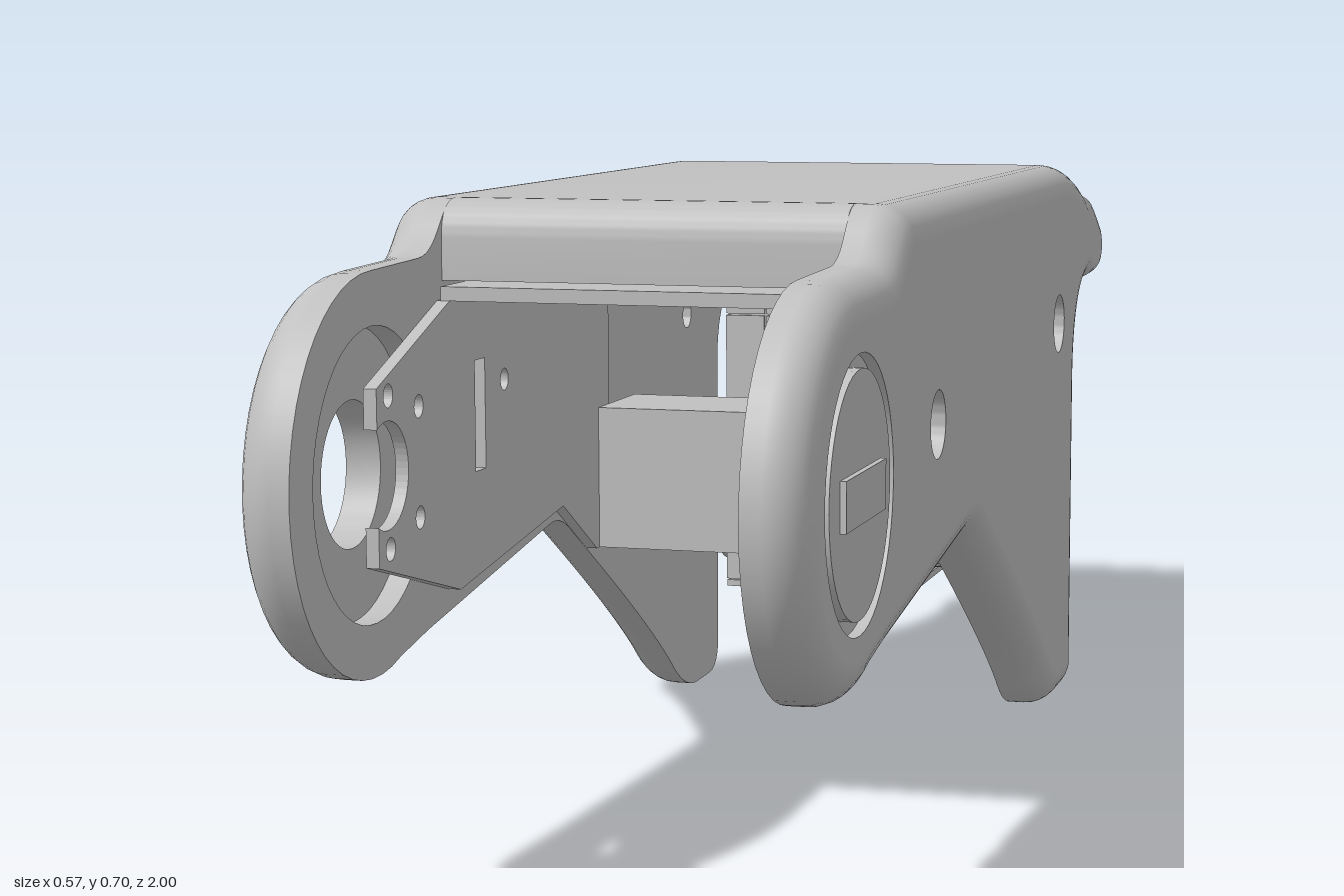
import * as THREE from 'three';
import { mergeGeometries, toCreasedNormals } from 'three/addons/utils/BufferGeometryUtils.js';

const grey = new THREE.MeshStandardMaterial({ color: 0xc0c0c0, side: THREE.DoubleSide });
const CX = -0.0045;      // middle of the body across x
const INNER = 0.2185;    // half the gap between the side plates
const T = 0.063;         // side plate thickness
const R = 0.042;         // rounding of the outer rim
const PIVOT = [0.795, 0.44];
const SCREWS = [[0.45, 0.465], [-0.27, 0.505]];

function mesh(name, geo) {
  const m = new THREE.Mesh(geo, grey);
  m.name = name;
  return m;
}

function box(name, x0, x1, y0, y1, z0, z1) {
  const g = new THREE.BoxGeometry(x1 - x0, y1 - y0, z1 - z0);
  g.translate((x0 + x1) / 2, (y0 + y1) / 2, (z0 + z1) / 2);
  return mesh(name, g);
}

// Takes a part drawn in (z, y, outward depth) to the side at -x or +x
function toSide(geo, side) {
  geo.clearGroups();
  geo.rotateY(-Math.PI / 2).translate(-INNER, 0, 0);
  if (side > 0) {
    geo.scale(-1, 1, 1);
    const order = geo.index ? [...geo.index.array] : [...Array(geo.attributes.position.count).keys()];
    geo.setIndex(order.reverse());
  }
  return geo.translate(CX, 0, 0);
}

function circle(c, r) {
  return new THREE.Path().absarc(c[0], c[1], r, 0, Math.PI * 2, true);
}

// Side plate outline in (z, y), counter-clockwise
function sideOutline() {
  const s = new THREE.Shape();
  s.moveTo(-0.33, 0.705);
  s.quadraticCurveTo(-0.46, 0.70, -0.6, 0.62);
  s.quadraticCurveTo(-0.622, 0.605, -0.622, 0.58);
  s.quadraticCurveTo(-0.615, 0.54, -0.56, 0.54);
  s.bezierCurveTo(-0.45, 0.54, -0.41, 0.5, -0.41, 0.42);
  s.lineTo(-0.41, 0.045);
  s.quadraticCurveTo(-0.41, 0, -0.365, 0);
  s.lineTo(-0.31, 0);
  s.quadraticCurveTo(-0.25, 0, -0.19, 0.05);
  s.quadraticCurveTo(-0.09, 0.125, 0.2, 0.288);
  s.quadraticCurveTo(0.24, 0.315, 0.28, 0.309);
  s.lineTo(0.66, 0.257);
  s.lineTo(0.735, 0.244);
  s.absarc(PIVOT[0], PIVOT[1], 0.205, -1.87, Math.PI / 2, false);
  s.lineTo(0.67, 0.648);
  s.bezierCurveTo(0.61, 0.65, 0.61, 0.705, 0.56, 0.705);
  return s.getPoints(14);
}

// Plate with a flat inner face and a rounded outer rim
function plateGeometry() {
  const pts = sideOutline(), n = pts.length, steps = 7;
  const normals = pts.map((p, i) => {
    const t = pts[(i + 1) % n].clone().sub(pts[(i + n - 1) % n]).normalize();
    return new THREE.Vector2(t.y, -t.x);
  });
  const inset = (d) => pts.map((p, i) => p.clone().addScaledVector(normals[i], p.x < -0.52 ? -d * 0.55 : -d));
  const pos = [], nor = [], idx = [];
  for (let k = -1; k <= steps; k++) {
    const a = Math.max(k, 0) / steps * Math.PI / 2;
    const w = k < 0 ? 0 : T - R + R * Math.sin(a);
    inset(R * (1 - Math.cos(a))).forEach((p, i) => {
      pos.push(p.x, p.y, w);
      nor.push(normals[i].x * Math.cos(a), normals[i].y * Math.cos(a), Math.sin(a));
      if (k < 0) return;
      const j = (i + 1) % n, lo = k * n, hi = lo + n;
      idx.push(lo + i, lo + j, hi + j, lo + i, hi + j, hi + i);
    });
  }
  const rim = new THREE.BufferGeometry();
  rim.setAttribute('position', new THREE.Float32BufferAttribute(pos, 3));
  rim.setAttribute('normal', new THREE.Float32BufferAttribute(nor, 3));
  rim.setIndex(idx);
  const cap = (d, pivotR, screwR) => {
    const s = new THREE.Shape(inset(d));
    s.holes.push(circle(PIVOT, pivotR), ...SCREWS.map((c) => circle(c, screwR)));
    const g = new THREE.ShapeGeometry(s, 24);
    g.deleteAttribute('uv');
    return g;
  };
  const outer = cap(R, 0.137, 0.037).translate(0, 0, T);
  const inner = cap(0, 0.15, 0.018);
  inner.setIndex([...inner.index.array].reverse());
  for (let i = 0; i < inner.attributes.normal.count; i++) inner.attributes.normal.setZ(i, -1);
  return mergeGeometries([rim, outer, inner]);
}

// Turned lining of a hole, profile as [radius, depth]
function turned(profile, c, side) {
  const g = new THREE.LatheGeometry(profile.map((p) => new THREE.Vector2(...p)), 48);
  g.rotateX(Math.PI / 2).translate(c[0], c[1], 0);
  // Reverse so that faces point out of the solid
  g.setIndex([...g.index.array].reverse());
  return toSide(toCreasedNormals(g, 0.6), side);
}

// Flat bracket arm with a notched tip, a slot and small holes
function armGeometry() {
  const s = new THREE.Shape();
  s.moveTo(0.62, 0.6);
  s.lineTo(0.1, 0.6);
  s.lineTo(0.1, 0.26);
  s.lineTo(0.15, 0.26);
  s.lineTo(0.27, 0.33);
  s.lineTo(0.6, 0.29);
  s.lineTo(0.82, 0.35);
  s.absarc(0.795, 0.44, 0.055, -1.1, 1.1, true);
  s.lineTo(0.82, 0.53);
  const slot = new THREE.Path();
  slot.moveTo(0.52, 0.41);
  slot.lineTo(0.52, 0.53);
  slot.lineTo(0.55, 0.53);
  slot.lineTo(0.55, 0.41);
  s.holes.push(slot);
  for (const c of [[0.79, 0.52], [0.79, 0.365], [0.71, 0.5], [0.71, 0.385], [0.46, 0.5]]) s.holes.push(circle(c, 0.012));
  return new THREE.ExtrudeGeometry(s, { depth: 0.014, bevelEnabled: false, curveSegments: 16 }).translate(0, 0, -0.014);
}

export function createModel() {
  const model = new THREE.Group();
  model.name = 'armLink';

  // Side plates, pivots, screw holes, bracket arms and servo horns
  for (const side of [-1, 1]) {
    const g = new THREE.Group();
    g.name = side > 0 ? 'leftSide' : 'rightSide';
    g.add(mesh('sidePlate', toSide(plateGeometry(), side)));
    const bore = side > 0 ? 0.0001 : 0.075;
    g.add(mesh('pivotCap', turned([[0.137, T], [0.137, T - 0.012], [0.122, T - 0.012], [0.122, T],
      [bore, T], [bore, 0.025], [0.15, 0.025], [0.15, 0]], PIVOT, side)));
    for (const c of SCREWS) {
      g.add(mesh('screwHole', turned([[0.037, T], [0.037, 0.03], [0.018, 0.03], [0.018, 0]], c, side)));
    }
    g.add(mesh('bracketArm', toSide(armGeometry(), side)));
    const horn = new THREE.CylinderGeometry(0.08, 0.08, 0.028, 40).rotateZ(Math.PI / 2);
    g.add(mesh('servoHorn', horn.translate(CX + side * 0.139, 0.265, -0.25)));
    const hub = new THREE.CylinderGeometry(0.03, 0.03, 0.04, 24).rotateZ(Math.PI / 2);
    g.add(mesh('hornHub', hub.translate(CX + side * 0.14, 0.265, -0.25)));
    model.add(g);
  }
  model.add(box('pivotKey', 0.27, 0.283, 0.415, 0.465, 0.715, 0.875));

  // Top cover, drawn in (z, y) and swept across x
  const s = new THREE.Shape();
  s.moveTo(-0.33, 0.705);
  s.quadraticCurveTo(-0.46, 0.70, -0.6, 0.62);
  s.lineTo(-0.605, 0.605);
  s.quadraticCurveTo(-0.45, 0.618, -0.33, 0.62);
  s.lineTo(0.605, 0.62);
  s.lineTo(0.605, 0.665);
  s.quadraticCurveTo(0.603, 0.705, 0.56, 0.705);
  const cover = new THREE.ExtrudeGeometry(s, { depth: 2 * INNER, bevelEnabled: false, curveSegments: 14 });
  cover.rotateY(-Math.PI / 2).translate(CX + INNER, 0, 0);
  model.add(mesh('topCover', toCreasedNormals(cover, 0.5)));

  // Inner bracket top and cross bar
  model.add(box('bracketTop', -0.218, 0.209, 0.6, 0.615, 0.1, 0.622));
  model.add(box('crossBar', -0.209, 0.2, 0.26, 0.43, 0.0, 0.14));

  // Servo: three case sections with fine seams, end covers and a connector
  const servo = new THREE.Group();
  servo.name = 'servo';
  for (const [x0, x1] of [[-0.125, -0.075], [-0.072, 0.073], [0.076, 0.117]]) {
    servo.add(box('caseSection', x0, x1, 0.18, 0.52, -0.38, -0.12));
    servo.add(box('caseBottom', x0, x1, 0.17, 0.178, -0.378, -0.122));
    servo.add(box('caseTop', x0, x1, 0.522, 0.53, -0.378, -0.122));
  }
  servo.add(box('caseCore', -0.122, 0.114, 0.172, 0.528, -0.376, -0.124));
  servo.add(box('connector', -0.05, 0.045, 0.41, 0.45, -0.392, -0.38));
  const cable = new THREE.TorusGeometry(0.014, 0.005, 8, 20).scale(0.6, 1.2, 1);
  servo.add(mesh('cableLoop', cable.translate(0.107, 0.222, -0.118)));
  model.add(servo);

  // Servo mount: stepped top, rear flange and hanging tabs
  const mount = new THREE.Group();
  mount.name = 'servoMount';
  mount.add(box('mountTop', -0.145, 0.135, 0.575, 0.6, -0.42, -0.1));
  mount.add(box('mountStep', -0.128, 0.119, 0.555, 0.575, -0.4, -0.12));
  mount.add(box('mountFlange', -0.128, 0.119, 0.54, 0.58, -0.42, -0.408));
  mount.add(box('mountTab', -0.142, -0.128, 0.472, 0.58, -0.41, -0.2));
  mount.add(box('mountTab', 0.119, 0.133, 0.472, 0.58, -0.41, -0.2));
  model.add(mount);

  // Sloping tail flap with cut corners
  const L = 0.421, W = 0.187, C = 0.065;
  const flap = new THREE.Shape([[-W, 0], [W, 0], [W, L - C], [W - C, L], [-W + C, L], [-W, L - C]]
    .map((p) => new THREE.Vector2(...p)));
  const tail = new THREE.ExtrudeGeometry(flap, { depth: 0.011, bevelEnabled: false });
  tail.rotateX(-Math.PI / 2).rotateX(-0.32).translate(CX - 0.001, 0.605, -0.6);
  model.add(mesh('tailFlap', tail));

  return model;
}
